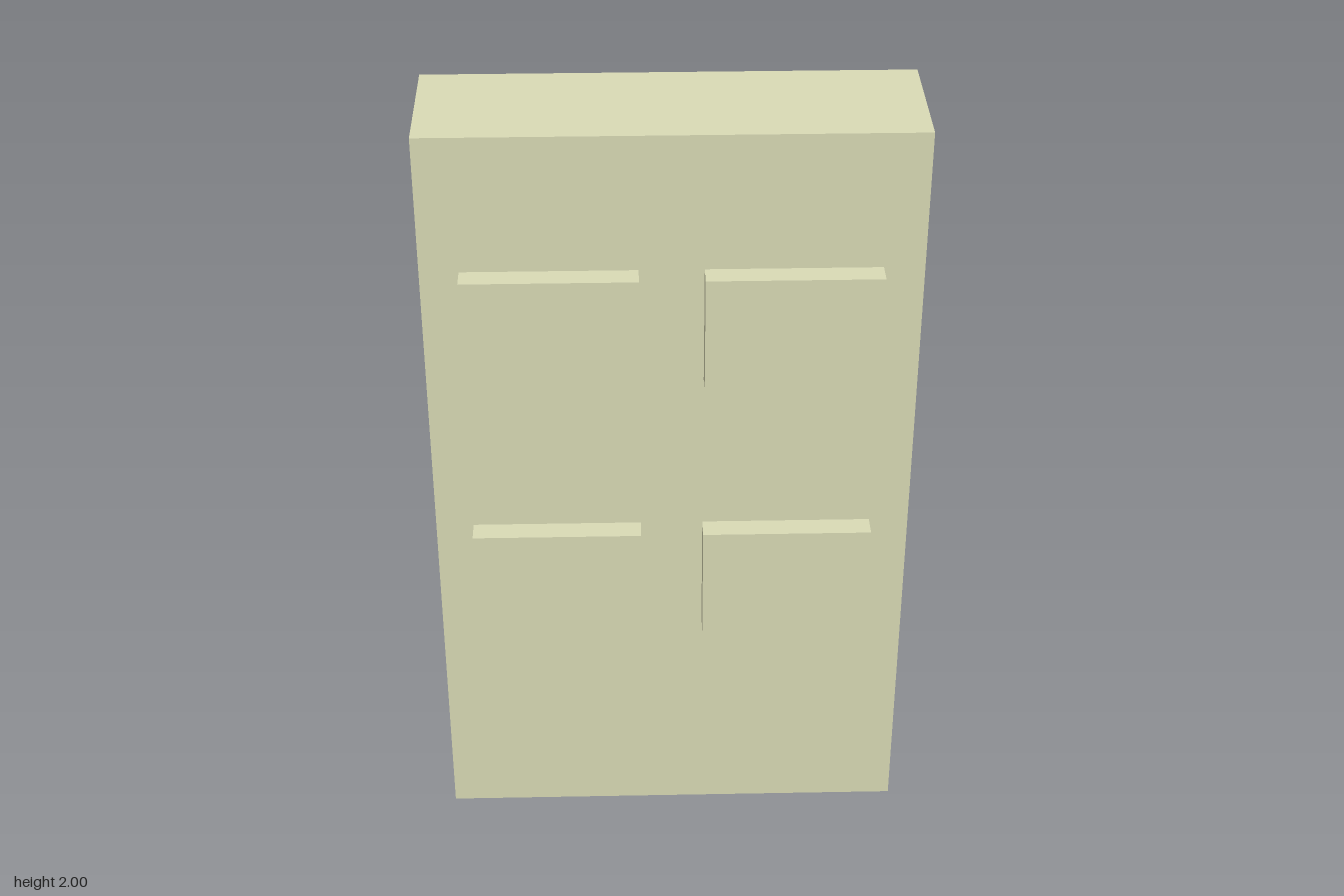
import * as THREE from 'three';

const wallMaterial = new THREE.MeshStandardMaterial({ color: 0xdadbb6 });
const doorMaterial = new THREE.MeshStandardMaterial({ color: 0xd0dabd });

// Box given by its minimum and maximum corners
function block(name, min, max, material) {
  const size = max.map((v, i) => v - min[i]);
  const mesh = new THREE.Mesh(new THREE.BoxGeometry(...size), material);
  mesh.position.set(...min.map((v, i) => (v + max[i]) / 2));
  mesh.name = name;
  return mesh;
}

export function createModel() {
  const model = new THREE.Group();
  model.name = 'building';

  // Main slab
  model.add(block('buildingBody', [-0.59, 0.022, -0.153], [0.59, 2, 0.19], wallMaterial));

  // Two rows of two raised windows on the front
  const windows = new THREE.Group();
  windows.name = 'windows';
  for (const y of [0.635, 1.355]) {
    for (const x of [-0.497, 0.075]) {
      windows.add(block('window', [x, y, 0.15], [x + 0.418, y + 0.302, 0.248], wallMaterial));
    }
  }
  model.add(windows);

  // Door block on the back, reaching below and into the slab
  model.add(block('door', [-0.107, 0, -0.248], [0.104, 0.345, -0.02], doorMaterial));

  return model;
}
